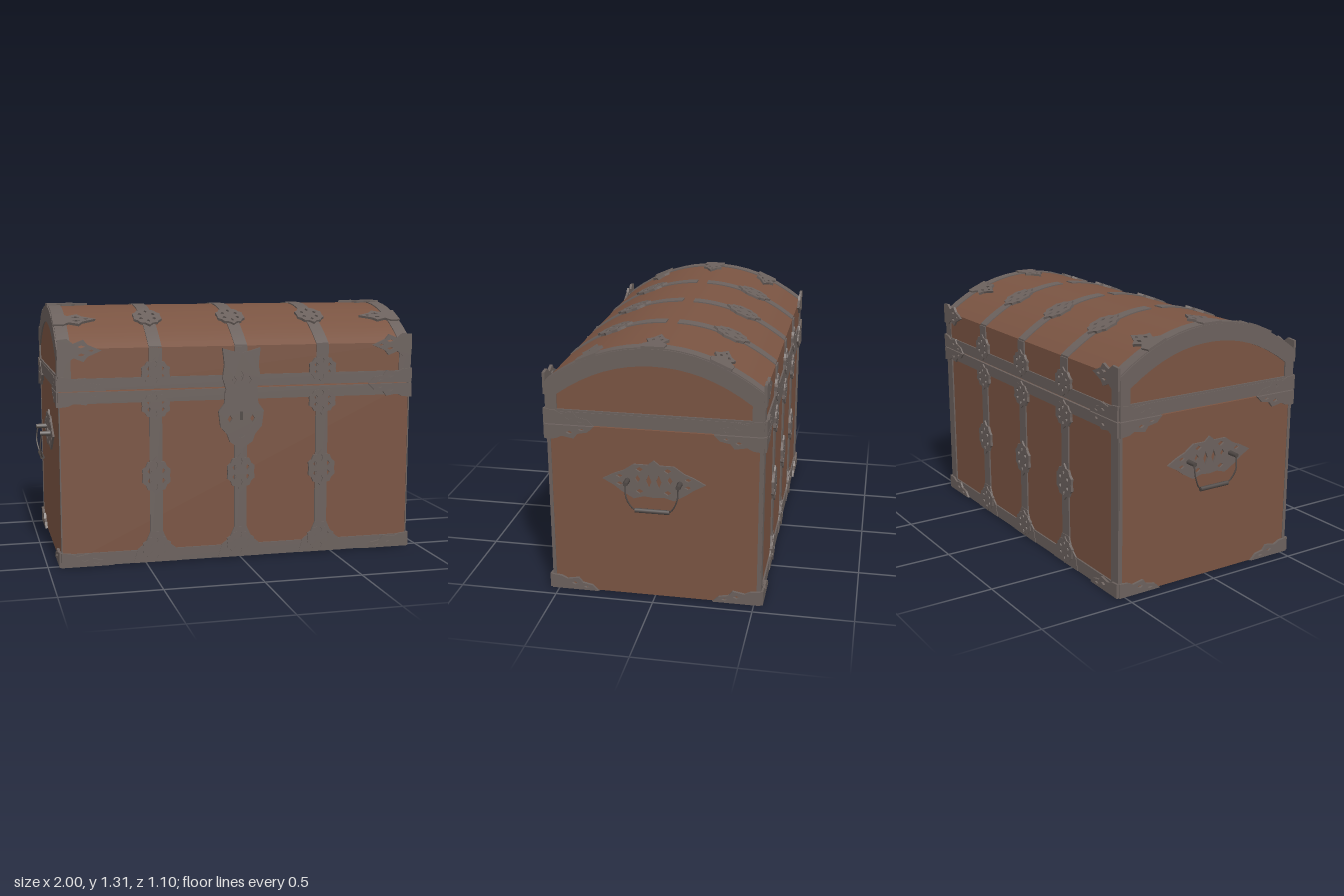
import * as THREE from 'three';
import { toCreasedNormals } from 'three/addons/utils/BufferGeometryUtils.js';

const wood = new THREE.MeshStandardMaterial({ color: 0x7a5442 });
wood.name = 'brown wood';
const iron = new THREE.MeshStandardMaterial({ color: 0x6b615d });
iron.name = 'grey iron';
const dark = new THREE.MeshStandardMaterial({ color: 0x4f4845 });
dark.name = 'dark iron';

const W = 0.93, D = 0.53, SEAM = 0.9;
// height and slope of the domed lid at depth z
const lidY = z => 1.3 - 0.19 * Math.pow(Math.abs(z) / D, 2.1);
const lidSlope = z => (0.19 * 2.1 / D) * Math.pow(Math.abs(z) / D, 1.1);

function add(parent, name, geo, mat, x = 0, y = 0, z = 0) {
  const m = new THREE.Mesh(geo, mat);
  m.name = name;
  m.position.set(x, y, z);
  parent.add(m);
  return m;
}
const box = (p, name, w, h, d, x, y, z, mat = iron) =>
  add(p, name, new THREE.BoxGeometry(w, h, d), mat, x, y, z);

const poly = (pts, sx = 1, sy = 1) =>
  new THREE.Shape(pts.map(([x, y]) => new THREE.Vector2(x * sx, y * sy)));

// diamond-shaped piercings: [x, y, half width, half height]
function pierce(shape, list) {
  for (const [x, y, a, b] of list) {
    shape.holes.push(new THREE.Path([[x + a, y], [x, y + b], [x - a, y], [x, y - b]]
      .map(q => new THREE.Vector2(...q))));
  }
  return shape;
}
const slab = (shape, depth) => new THREE.ExtrudeGeometry(shape, { depth, bevelEnabled: false });

// section drawn in z and y, extruded along x and centred
function alongX(pts, width) {
  const g = slab(new THREE.Shape(pts.map(([z, y]) => new THREE.Vector2(-z, y))), width);
  g.rotateY(Math.PI / 2).translate(-width / 2, 0, 0);
  return toCreasedNormals(g, 0.5);
}
function arc(z0, z1, f, n = 16) {
  return Array.from({ length: n + 1 }, (_, i) => {
    const z = z0 + (z1 - z0) * i / n;
    return [z, f(z)];
  });
}
// curved strap lying on the lid
function lidStrap(parent, x, width, z0, z1) {
  const pts = [...arc(z0, z1, z => lidY(z) + 0.006), ...arc(z1, z0, z => lidY(z) - 0.01)];
  add(parent, 'lidStrap', alongX(pts, width), iron, x);
}

// ornament outlines
const half = [[0, 0.105], [0.02, 0.08], [0.045, 0.075], [0.055, 0.05], [0.073, 0.035], [0.07, 0],
  [0.073, -0.035], [0.055, -0.05], [0.045, -0.075], [0.02, -0.08], [0, -0.105]];
const mirrorX = pts => [...pts, ...pts.slice(1, -1).reverse().map(([x, y]) => [-x, y])];
const medallion = pierce(poly(mirrorX(half), 1, 0.95), [[0, 0.055, 0.008, 0.018], [0, -0.055, 0.008, 0.018],
  [0.035, 0.025, 0.011, 0.015], [-0.035, 0.025, 0.011, 0.015],
  [0.035, -0.025, 0.011, 0.015], [-0.035, -0.025, 0.011, 0.015]]);
const claw = pierce(poly([[0, -0.055], [0.05, -0.06], [0.08, -0.035], [0.13, -0.055], [0.15, -0.03], [0.22, 0],
  [0.15, 0.03], [0.13, 0.055], [0.08, 0.035], [0.05, 0.06], [0, 0.055]]),
  [[0.12, 0.02, 0.02, 0.008], [0.12, -0.02, 0.02, 0.008], [0.17, 0, 0.015, 0.006]]);
const cornerPts = [[0, 0], [0.24, 0], [0.21, 0.03], [0.16, 0.04], [0.14, 0.066], [0.08, 0.055], [0.05, 0.07], [0, 0.075]];
const corner = (sx, sy) => pierce(poly(cornerPts, sx, sy),
  [[0.12 * sx, 0.035 * sy, 0.018, 0.009], [0.18 * sx, 0.018 * sy, 0.016, 0.006]]);

// iron corners at the foot and on both sides of the seam, on a face of half width w
function faceCorners(parent, w, z) {
  for (const s of [-1, 1]) {
    for (const [y, up] of [[0.004, 1], [SEAM, 1], [SEAM - 0.005, -1]]) {
      add(parent, 'cornerPlate', slab(corner(-s, up), 0.014), iron, s * w, y, z);
    }
  }
}

// plate holder lying on the lid surface
function onLid(parent, x, z) {
  const g = new THREE.Group();
  g.name = 'lidOrnament';
  g.position.set(x, lidY(z) - 0.002, z);
  g.rotation.x = -Math.atan2(1, lidSlope(z));
  parent.add(g);
  return g;
}
function addClaw(parent, s, y, z) {
  add(parent, 'claw', slab(claw, 0.014), iron, s * (W + 0.006), y, z).rotation.z = s > 0 ? Math.PI : 0;
}

// straps and plates of one long face
function longFace(isFront) {
  const f = new THREE.Group();
  f.name = isFront ? 'frontIronwork' : 'backIronwork';
  box(f, 'bodyRail', 2 * W + 0.01, 0.058, 0.012, 0, 0.864, D);
  box(f, 'lidRail', 2 * W + 0.01, 0.06, 0.012, 0, 0.932, D + 0.002);
  box(f, 'footRail', 2 * W + 0.004, 0.066, 0.01, 0, 0.037, D);
  for (const x of [-0.445, 0, 0.44]) {
    box(f, 'strap', 0.066, 0.84, 0.01, x, 0.43, D);
    box(f, 'lidFrontStrap', 0.066, 0.19, 0.01, x, 1.012, D + 0.002);
    lidStrap(f, x, 0.066, 0.03, D);
    // flared foot of the strap
    add(f, 'strapFoot', slab(poly([[-0.12, 0], [0.12, 0], [0.1, 0.07], [0.06, 0.1], [0.033, 0.16],
      [-0.033, 0.16], [-0.06, 0.1], [-0.1, 0.07]]), 0.008), iron, x, 0.004, D);
    for (const y of [0.08, 0.455, 0.815, 0.985]) {
      const m = add(f, 'medallion', slab(medallion, 0.014), iron, x, y, D);
      if (y !== 0.455) m.scale.y = 0.75;
    }
    add(onLid(f, x, 0.3), 'medallion', slab(medallion, 0.014), iron);
  }
  for (const s of [-1, 1]) {
    box(f, 'lidEndStrip', 0.062, 0.2, 0.01, s * (W - 0.03), 1.01, D);
    if (!isFront) box(f, 'cornerPost', 0.062, 0.88, 0.01, s * (W - 0.03), 0.445, D);
    addClaw(f, s, 1.1, D - 0.002);
    addClaw(onLid(f, 0, 0.32), s, 0, 0);
  }
  faceCorners(f, W + 0.006, D + 0.002);
  if (isFront) {
    // hasp on the lid and lock plate below it
    const hasp = pierce(poly(mirrorX([[0, 0.19], [0.05, 0.2], [0.1, 0.215], [0.09, 0.13], [0.1, 0.06], [0.08, 0], [0, 0]])),
      [[-0.04, 0.05, 0.014, 0.02], [0.04, 0.05, 0.014, 0.02], [0, 0.07, 0.012, 0.025]]);
    add(f, 'hasp', slab(hasp, 0.018), iron, 0, 0.885, D + 0.003);
    const lock = pierce(poly(mirrorX([[0, 0.31], [0.085, 0.31], [0.09, 0.24], [0.12, 0.2], [0.11, 0.12],
      [0.075, 0.08], [0.06, 0.04], [0, 0]])),
      [[-0.06, 0.16, 0.013, 0.02], [0.06, 0.16, 0.013, 0.02], [0, 0.07, 0.02, 0.012]]);
    add(f, 'lockPlate', slab(lock, 0.016), iron, 0, 0.575, D + 0.002);
    box(f, 'keyhole', 0.016, 0.045, 0.004, 0, 0.75, D + 0.019, dark);
  } else f.rotation.y = Math.PI;
  return f;
}

// lid border, handle and corners of one end
function endFace(s) {
  const e = new THREE.Group();
  e.name = s > 0 ? 'leftEnd' : 'rightEnd';
  const ring = new THREE.Shape([[-D, SEAM], [D, SEAM], ...arc(D, -D, lidY)].map(p => new THREE.Vector2(...p)));
  ring.holes.push(new THREE.Path([[-0.475, 0.975], [0.475, 0.975],
    ...arc(0.475, -0.475, z => 1.215 - 0.165 * Math.pow(Math.abs(z) / 0.475, 2.1))]
    .map(p => new THREE.Vector2(...p))));
  add(e, 'lidBorder', slab(ring, 0.008), iron, 0, 0, W);
  box(e, 'lidRail', 2 * D + 0.01, 0.06, 0.008, 0, 0.935, W + 0.007);
  for (const k of [-1, 1]) box(e, 'edgeStrip', 0.018, 0.88, 0.006, k * (D - 0.008), 0.445, W);
  faceCorners(e, D + 0.004, W);

  // pierced handle plate
  const plate = pierce(poly(mirrorX([[0, 0.11], [0.03, 0.085], [0.1, 0.085], [0.15, 0.05], [0.2, 0.03], [0.255, 0],
    [0.2, -0.03], [0.16, -0.06], [0.1, -0.095], [0.05, -0.08], [0, -0.085]])),
    [-1, 1].flatMap(k => [[0.025 * k, 0, 0.014, 0.035], [0.08 * k, 0.01, 0.013, 0.02], [0.07 * k, 0.06, 0.02, 0.013],
      [0.07 * k, -0.055, 0.02, 0.013], [0.17 * k, 0.02, 0.018, 0.01], [0.17 * k, -0.02, 0.018, 0.01]]));
  add(e, 'handlePlate', slab(plate, 0.01), iron, 0, 0.63, W);
  for (const k of [-1, 1]) {
    const post = add(e, 'handlePost', new THREE.CylinderGeometry(0.012, 0.014, 0.06, 6), dark, k * 0.13, 0.63, W + 0.035);
    post.rotation.x = Math.PI / 2;
  }
  // thin hanging bail with a thicker grip
  const bail = new THREE.CatmullRomCurve3([[-0.13, 0.63, 0.985], [-0.125, 0.56, 0.995], [-0.085, 0.495, 0.983],
    [0, 0.49, 0.98], [0.085, 0.495, 0.983], [0.125, 0.56, 0.995], [0.13, 0.63, 0.985]]
    .map(p => new THREE.Vector3(...p)));
  add(e, 'handleBail', new THREE.TubeGeometry(bail, 36, 0.004, 5), dark);
  add(e, 'handleGrip', new THREE.CylinderGeometry(0.012, 0.012, 0.17, 8), dark, 0, 0.492, 0.981).rotation.z = Math.PI / 2;
  e.rotation.y = s * Math.PI / 2;
  return e;
}

export function createModel() {
  const chest = new THREE.Group();
  chest.name = 'chest';
  box(chest, 'body', 2 * W, 0.888, 2 * D - 0.006, 0, 0.448, 0, wood);
  add(chest, 'lid', alongX([[-D, SEAM], ...arc(-D, D, lidY, 28), [D, SEAM]], 2 * W), wood);
  chest.add(longFace(true), longFace(false), endFace(1), endFace(-1));

  for (const s of [-1, 1]) {
    // strips and middle claws at the ends of the dome
    lidStrap(chest, s * (W - 0.03), 0.064, -D, D);
    addClaw(onLid(chest, 0, 0), s, 0, 0);
    // corner patches under the chest
    for (const k of [-1, 1]) {
      const patch = slab(poly([[0, 0], [-0.26, 0], [-0.2, -0.1], [-0.1, -0.19], [0, -0.24]], s, k), 0.006);
      add(chest, 'footPatch', patch, iron, s * W, 0.006, k * D).rotation.x = Math.PI / 2;
      chest.children.at(-1).scale.y = 1;
    }
  }
  return chest;
}
